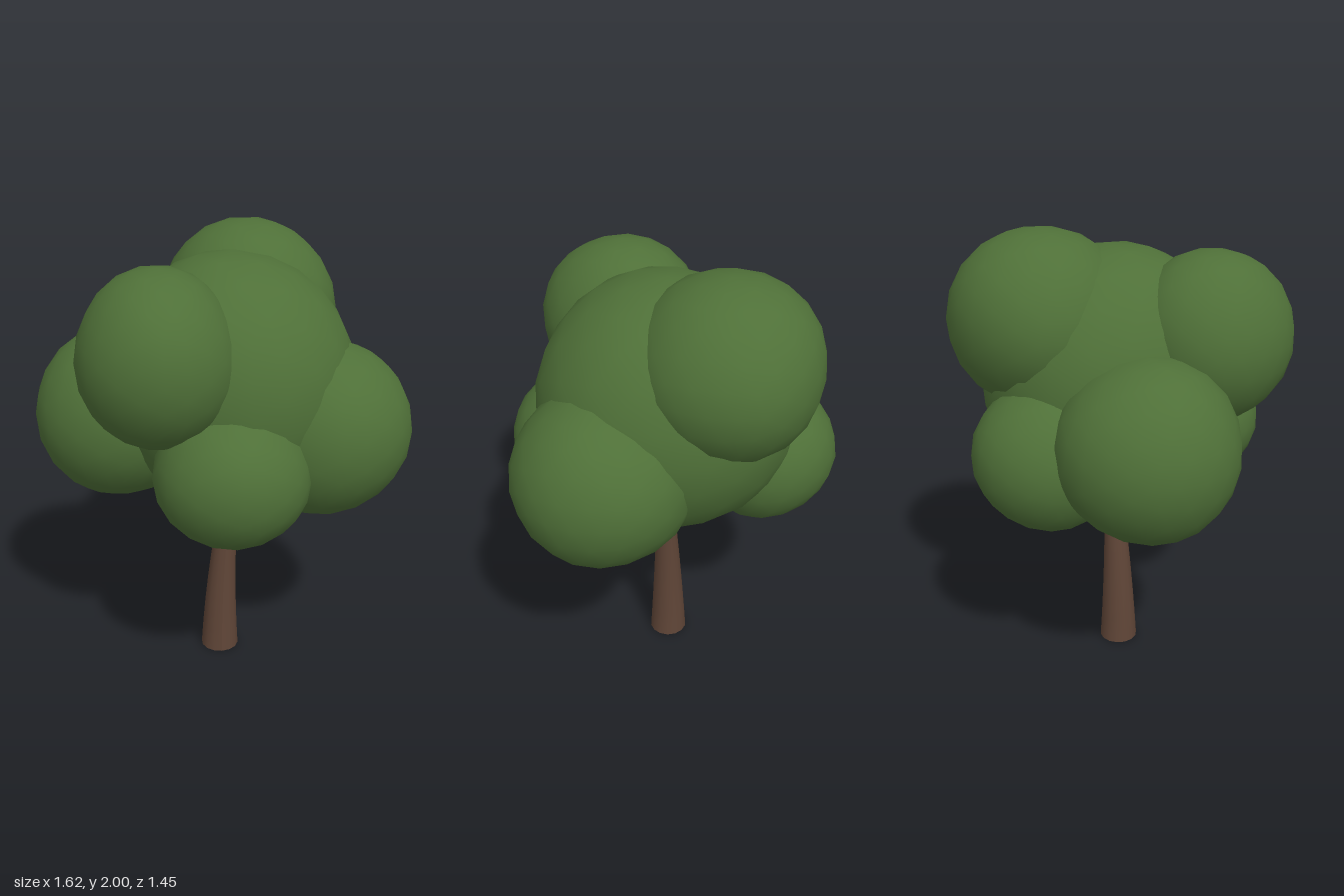
import * as THREE from 'three';
import { mergeVertices } from 'three/addons/utils/BufferGeometryUtils.js';

const leafGreen = new THREE.MeshStandardMaterial({ color: 0x4f7038 });
leafGreen.name = 'leafGreen';
const barkBrown = new THREE.MeshStandardMaterial({ color: 0x5f4537 });
barkBrown.name = 'barkBrown';

// A slightly lumpy smooth ball of leaves
function leafBall(name, [x, y, z], [rx, ry, rz], seed) {
  let geo = new THREE.IcosahedronGeometry(1, 3);
  geo.deleteAttribute('uv');
  geo.deleteAttribute('normal');
  geo = mergeVertices(geo, 1e-4);
  const p = geo.attributes.position;
  const v = new THREE.Vector3();
  for (let i = 0; i < p.count; i++) {
    v.fromBufferAttribute(p, i);
    const lump = 1 + 0.015 * Math.sin(3 * v.x + seed) * Math.cos(3 * v.y - seed)
      + 0.01 * Math.sin(4 * v.z + 2 * seed);
    p.setXYZ(i, v.x * rx * lump, v.y * ry * lump, v.z * rz * lump);
  }
  geo.computeVertexNormals();
  const mesh = new THREE.Mesh(geo, leafGreen);
  mesh.name = name;
  mesh.position.set(x, y, z);
  return mesh;
}

// Tapered trunk that bends gently toward +x as it rises
function makeTrunk() {
  const height = 0.95;
  const geo = new THREE.CylinderGeometry(0.03, 0.088, height, 14, 8);
  geo.translate(0, height / 2, 0);
  const p = geo.attributes.position;
  for (let i = 0; i < p.count; i++) {
    const y = p.getY(i);
    p.setX(i, p.getX(i) + 0.075 * y * y);
    p.setZ(i, p.getZ(i) + 0.012);
  }
  geo.computeVertexNormals();
  const mesh = new THREE.Mesh(geo, barkBrown);
  mesh.name = 'trunk';
  return mesh;
}

// Short limb between two points
function limb(name, from, to) {
  const a = new THREE.Vector3(...from), b = new THREE.Vector3(...to);
  const dir = b.clone().sub(a);
  const mesh = new THREE.Mesh(new THREE.CylinderGeometry(0.015, 0.021, dir.length(), 7), barkBrown);
  mesh.name = name;
  mesh.position.copy(a).add(b).multiplyScalar(0.5);
  mesh.quaternion.setFromUnitVectors(new THREE.Vector3(0, 1, 0), dir.normalize());
  return mesh;
}

export function createModel() {
  const tree = new THREE.Group();
  tree.name = 'tree';
  tree.add(makeTrunk());

  // Limb ends poking out below the leaves
  tree.add(
    limb('rightBranch', [-0.16, 0.765, 0.05], [-0.08, 0.9, 0.09]),
    limb('leftBranch', [0.16, 0.765, -0.07], [0.12, 0.9, -0.06]),
    limb('frontBranch', [0.03, 0.78, 0.06], [0.04, 0.9, 0.09])
  );

  // Crown: one large core with six surrounding clumps
  const clumps = [
    ['crownCore', [0.06, 1.355, 0], [0.53, 0.565, 0.56]],
    ['upperRightClump', [-0.285, 1.55, 0.29], [0.335, 0.37, 0.36]],
    ['lowerLeftClump', [0.425, 1.185, 0.175], [0.38, 0.385, 0.385]],
    ['lowerFrontClump', [0, 1.08, 0.4], [0.33, 0.31, 0.32]],
    ['lowerRightClump', [-0.425, 1.185, -0.135], [0.385, 0.385, 0.395]],
    ['upperBackClump', [0.165, 1.615, -0.28], [0.4, 0.385, 0.39]],
    ['lowerBackClump', [-0.08, 1.1, -0.4], [0.32, 0.32, 0.325]]
  ];
  clumps.forEach(([name, center, radii], i) => tree.add(leafBall(name, center, radii, i * 1.7)));
  return tree;
}
